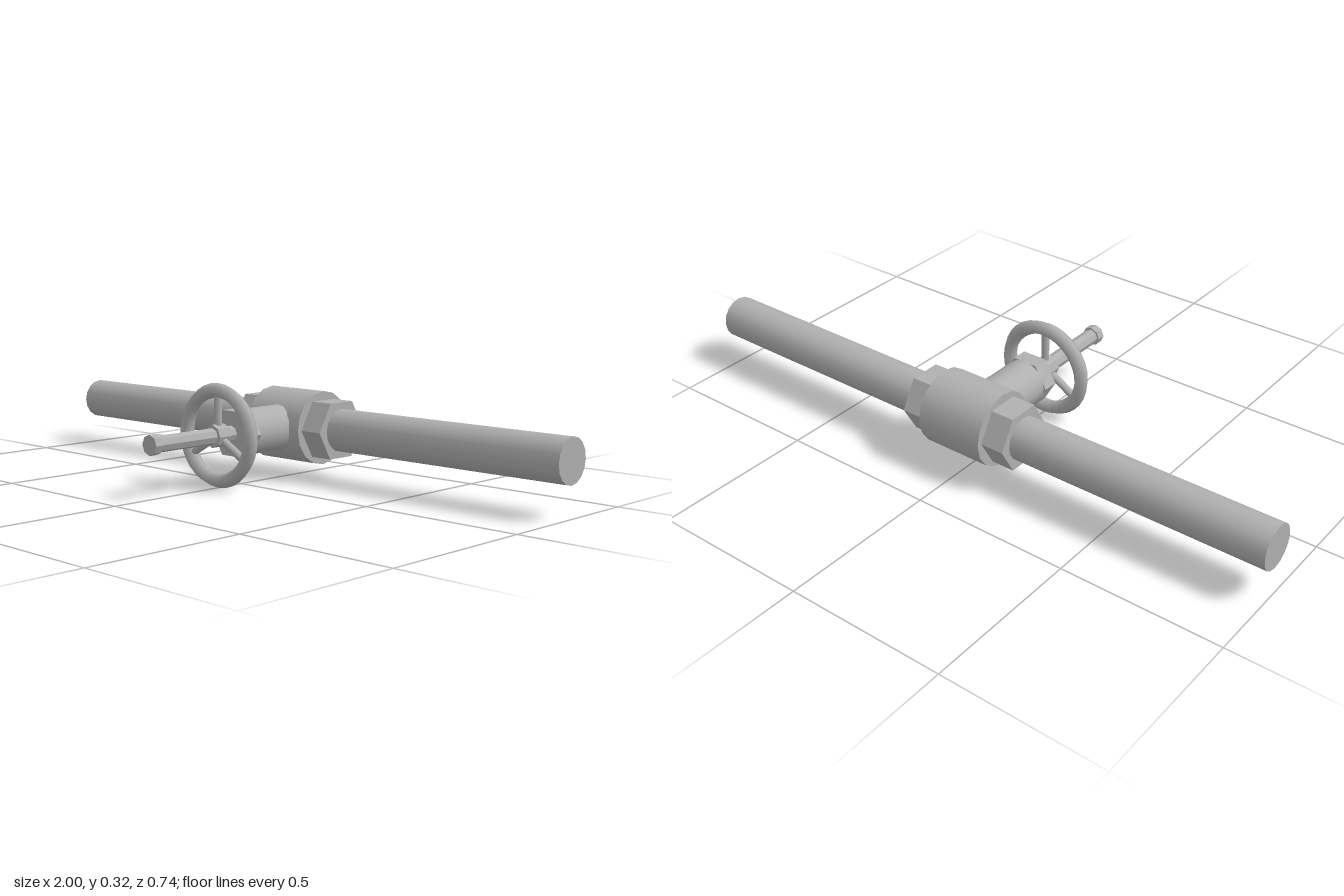
import * as THREE from 'three';

export function createModel() {
  const model = new THREE.Group();
  model.name = 'pipeValve';
  const metal = new THREE.MeshStandardMaterial({ color: 0xb0b0b0 });
  metal.name = 'grey metal';
  const AXIS_Y = 0.162, PIPE_Z = -0.253;

  const add = (name, geometry, parent = model) => {
    const mesh = new THREE.Mesh(geometry, metal);
    mesh.name = name;
    parent.add(mesh);
    return mesh;
  };
  // Gives every face its own normal
  const faceted = (geometry) => {
    const flat = geometry.toNonIndexed();
    flat.computeVertexNormals();
    return flat;
  };
  // Cylinder lying along x, on the pipe's centre line
  const alongX = (r, x0, x1, sides) =>
    new THREE.CylinderGeometry(r, r, x1 - x0, sides)
      .rotateZ(Math.PI / 2).translate((x0 + x1) / 2, AXIS_Y, PIPE_Z);
  // Cylinder lying along z, on the stem's centre line
  const alongZ = (r, z0, z1, sides, turn = 0) =>
    new THREE.CylinderGeometry(r, r, z1 - z0, sides, 1, false, turn)
      .rotateX(Math.PI / 2).translate(0, AXIS_Y, (z0 + z1) / 2);

  // Main run: pipe, valve body and two hexagonal nuts
  add('pipe', alongX(0.067, -1, 1, 16));
  add('valveBody', alongX(0.116, -0.11, 0.11, 16));
  add('leftNut', faceted(alongX(0.1, 0.105, 0.185, 6)));
  add('rightNut', faceted(alongX(0.1, -0.185, -0.105, 6)));

  // Branch towards the front with its hexagonal collar
  add('branch', alongZ(0.0725, PIPE_Z, 0.006, 16));
  add('collar', faceted(alongZ(0.08, -0.008, 0.042, 6, Math.PI / 2)));

  // Stem and end cap
  add('stem', faceted(alongZ(0.025, 0.03, 0.35, 8)));
  add('stemCap', faceted(alongZ(0.031, 0.343, 0.37, 8)));

  // Handwheel: rim, hub and three spokes
  const wheel = new THREE.Group();
  wheel.name = 'handwheel';
  model.add(wheel);
  add('rim', new THREE.TorusGeometry(0.137, 0.0225, 6, 32).translate(0, AXIS_Y, 0.097), wheel);
  add('hub', faceted(alongZ(0.035, 0.073, 0.122, 8)), wheel);
  for (let i = 0; i < 3; i++) {
    const spoke = new THREE.CylinderGeometry(0.012, 0.012, 0.115, 8)
      .translate(0, 0.0775, 0)
      .rotateZ(i * Math.PI * 2 / 3)
      .translate(0, AXIS_Y, 0.097);
    add('spoke', spoke, wheel);
  }
  return model;
}
